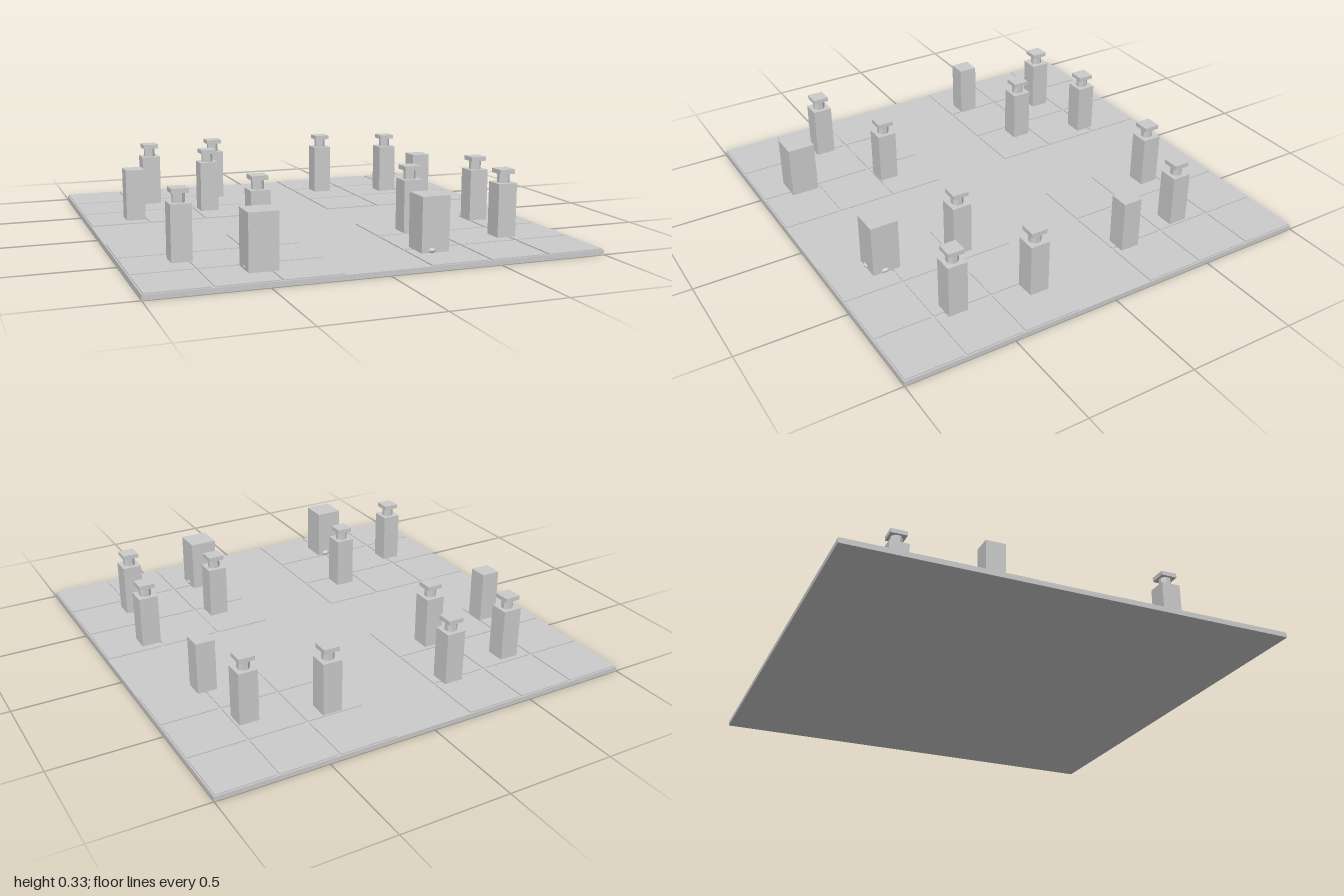
import * as THREE from 'three';

const material = new THREE.MeshStandardMaterial({ color: 0xcccccc, flatShading: true });

function add(parent, name, geometry, x, y, z) {
  const mesh = new THREE.Mesh(geometry, material);
  mesh.name = name;
  mesh.position.set(x, y, z);
  parent.add(mesh);
  return mesh;
}

const SLAB = 0.022; // top of the ground slab
const GROUND = 0.027; // top of the paving
const ROOF = 0.27; // top of every tower body

export function createModel() {
  const model = new THREE.Group();
  model.name = 'cityBlock';

  // Ground slab
  add(model, 'groundSlab', new THREE.BoxGeometry(2, SLAB, 2), 0, SLAB / 2, 0);

  // Paving: 3 x 3 raised tiles in each quarter, leaving two crossing roads
  const paving = new THREE.Group();
  paving.name = 'paving';
  model.add(paving);
  const road = 0.18, pitch = (1 - road) / 3, gap = 0.012;
  const tile = new THREE.BoxGeometry(pitch - gap, GROUND - SLAB, pitch - gap);
  for (const sx of [-1, 1]) for (const sz of [-1, 1])
    for (let i = 0; i < 3; i++) for (let j = 0; j < 3; j++)
      add(paving, 'pavingTile', tile,
        sx * (road + (i + 0.5) * pitch), (GROUND + SLAB) / 2, sz * (road + (j + 0.5) * pitch));

  // Towers: a square body, optionally topped by a neck and a flat cap
  const bodyHeight = ROOF - SLAB;
  const slimBody = new THREE.BoxGeometry(0.09, bodyHeight, 0.09);
  const wideBody = new THREE.BoxGeometry(0.128, bodyHeight, 0.128);
  const neck = new THREE.CylinderGeometry(0.028, 0.028, 0.044, 8).rotateY(Math.PI / 8);
  const cap = new THREE.BoxGeometry(0.075, 0.02, 0.075);

  function tower(name, x, z, body, capped) {
    const group = new THREE.Group();
    group.name = name;
    group.position.set(x, 0, z);
    model.add(group);
    add(group, 'towerBody', body, 0, SLAB + bodyHeight / 2, 0);
    if (capped) {
      add(group, 'roofNeck', neck, 0, ROOF + 0.022, 0);
      add(group, 'roofCap', cap, 0, 0.322, 0);
    }
  }

  const cappedSpots = [
    [-0.62, -0.655], [-0.27, -0.71], [0.325, -0.67], [0.665, -0.57], [-0.385, -0.385],
    [0.77, 0.265], [0.36, 0.4], [-0.365, 0.4], [-0.755, 0.565], [0.715, 0.625],
  ];
  for (const [x, z] of cappedSpots) tower('cappedTower', x, z, slimBody, true);
  for (const [x, z] of [[-0.775, -0.29], [0.715, -0.255]]) tower('plainTower', x, z, slimBody, false);
  for (const [x, z] of [[-0.485, 0.8], [0.29, 0.75]]) tower('wideTower', x, z, wideBody, false);

  // Small rounded shrubs at the feet of the wide towers
  const shrub = new THREE.IcosahedronGeometry(0.024, 1).scale(1, 0.6, 1);
  const shrubSpots = [[0.25, 0.703], [0.34, 0.755], [0.275, 0.8], [-0.465, 0.747], [-0.53, 0.805]];
  for (const [x, z] of shrubSpots) add(model, 'shrub', shrub, x, 0.037, z);

  return model;
}
